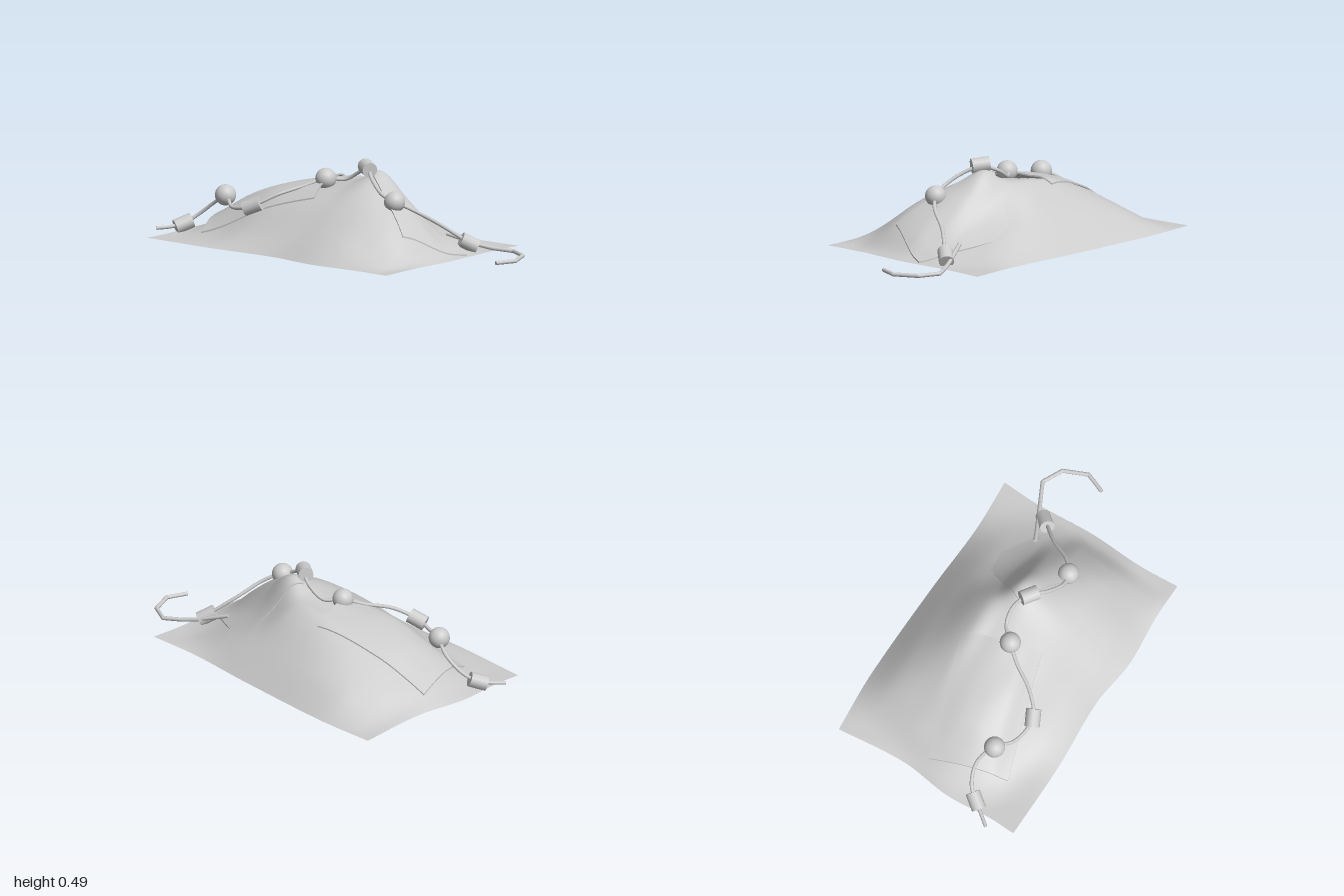
import * as THREE from 'three';

const mat = new THREE.MeshStandardMaterial({ color: 0xcccccc, side: THREE.DoubleSide });

// Draped height field: control heights over a coarse grid (rows run from back to front)
const XS = [-0.95, -0.87, -0.76, -0.6, -0.4, -0.2, 0, 0.15, 0.3, 0.45, 0.56, 0.65, 0.71];
const ZS = [-0.56, -0.4, -0.2, -0.09, 0.02, 0.2, 0.4, 0.56];
const edge = XS.map(() => 0.02);
const HEIGHTS = [
  edge,
  [0.02, 0.03, 0.07, 0.13, 0.165, 0.175, 0.17, 0.15, 0.11, 0.06, 0.03, 0.02, 0.02],
  [0.02, 0.05, 0.12, 0.20, 0.28, 0.335, 0.345, 0.28, 0.19, 0.11, 0.06, 0.03, 0.02],
  [0.02, 0.06, 0.13, 0.22, 0.29, 0.33, 0.365, 0.41, 0.30, 0.18, 0.09, 0.035, 0.02],
  [0.02, 0.06, 0.13, 0.22, 0.28, 0.315, 0.35, 0.38, 0.32, 0.22, 0.13, 0.045, 0.02],
  [0.02, 0.04, 0.09, 0.17, 0.24, 0.265, 0.28, 0.29, 0.27, 0.21, 0.13, 0.045, 0.02],
  [0.02, 0.02, 0.03, 0.055, 0.10, 0.125, 0.14, 0.15, 0.14, 0.095, 0.055, 0.02, 0.02],
  edge,
];

// Outline of the sheet: knots along each border and how far out it runs there
const BORDERS = {
  back: [[-0.95, -0.6, 0, 0.4, 0.71], [0.545, 0.568, 0.558, 0.54, 0.555]],
  front: [[-0.95, -0.5, -0.08, 0.2, 0.5, 0.71], [0.56, 0.56, 0.535, 0.563, 0.54, 0.54]],
  left: [[-0.56, -0.15, 0.15, 0.4, 0.56], [0.83, 0.8, 0.835, 0.82, 0.825]],
  right: [[-0.56, -0.35, 0, 0.3, 0.56], [0.83, 0.82, 0.835, 0.82, 0.83]],
};

// Smooth interpolation through uneven knots
function smooth(ks, vs, x) {
  const n = ks.length;
  x = Math.min(Math.max(x, ks[0]), ks[n - 1]);
  let i = 0;
  while (i < n - 2 && x > ks[i + 1]) i++;
  const slope = (j) => {
    const a = Math.max(j - 1, 0), b = Math.min(j + 1, n - 1);
    return (vs[b] - vs[a]) / (ks[b] - ks[a]);
  };
  const h = ks[i + 1] - ks[i], t = (x - ks[i]) / h, t2 = t * t, t3 = t2 * t;
  return (2 * t3 - 3 * t2 + 1) * vs[i] + (t3 - 2 * t2 + t) * h * slope(i)
    + (3 * t2 - 2 * t3) * vs[i + 1] + (t3 - t2) * h * slope(i + 1);
}

const heightAt = (x, z) => smooth(ZS, HEIGHTS.map((row) => smooth(XS, row, x)), z);

function reshape(geometry, rule) {
  const p = geometry.attributes.position;
  for (let i = 0; i < p.count; i++) p.setXYZ(i, ...rule(p.getX(i), p.getY(i), p.getZ(i)));
  geometry.computeVertexNormals();
  return geometry;
}

function add(group, name, geometry) {
  const mesh = new THREE.Mesh(geometry, mat);
  mesh.name = name;
  group.add(mesh);
  return mesh;
}

// Large sheet with gently wavy borders
function makeCloth() {
  const g = new THREE.PlaneGeometry(2, 2, 80, 56);
  g.rotateX(-Math.PI / 2);
  return reshape(g, (s, _, t) => {
    const x = s * 0.83 - 0.12, z = t * 0.56;
    const reachX = smooth(...(s < 0 ? BORDERS.left : BORDERS.right), z);
    const reachZ = smooth(...(t < 0 ? BORDERS.back : BORDERS.front), x);
    return [
      x + (reachX - 0.83) * s * Math.abs(s) ** 3,
      Math.max(0.02, heightAt(x, z)),
      z + (reachZ - 0.56) * t * Math.abs(t) ** 3,
    ];
  });
}

// Rectangular patch following the sheet; lift(u, v) is its clearance
function makePatch(origin, uEnd, vEnd, lift) {
  const g = new THREE.BoxGeometry(1, 1, 1, 28, 1, 22);
  return reshape(g, (a, b, c) => {
    const u = a + 0.5, v = c + 0.5;
    const x = origin[0] + u * (uEnd[0] - origin[0]) + v * (vEnd[0] - origin[0]);
    const z = origin[1] + u * (uEnd[1] - origin[1]) + v * (vEnd[1] - origin[1]);
    return [x, heightAt(x, z) + lift(u, v) + b * 0.008, z];
  });
}

// Straight cylinder between two points
function rod(group, name, a, b, radius, sides) {
  const dir = b.clone().sub(a);
  const m = add(group, name, new THREE.CylinderGeometry(radius, radius, dir.length(), sides));
  m.position.copy(a).add(b).multiplyScalar(0.5);
  m.quaternion.setFromUnitVectors(new THREE.Vector3(0, 1, 0), dir.normalize());
  return m;
}

const vec = (p) => new THREE.Vector3(...p);

export function createModel() {
  const model = new THREE.Group();
  const { smoothstep } = THREE.MathUtils;

  add(model, 'cloth', makeCloth());
  // Patch resting on the cloth at its back, bulging towards the front and bending down there
  add(model, 'largePatch', makePatch([-0.85, -0.04], [-0.22, -0.23], [-0.72, 0.38],
    (u, v) => 0.006 + 0.026 * smoothstep(v, 0, 0.6) - 0.022 * smoothstep(v, 0.75, 1)));
  // Patch whose back corner sinks into the cloth
  add(model, 'smallPatch', makePatch([0.24, -0.39], [0.71, -0.13], [0.07, -0.06],
    (u, v) => 0.012 - 0.025 * Math.max(0, 1 - u * 1.5 - v * 1.5)));

  // Cord winding over the top
  const cordPath = [
    [-1, 0.045, 0.42], [-0.95, 0.05, 0.355], [-0.91, 0.065, 0.3], [-0.86, 0.11, 0.24],
    [-0.76, 0.19, 0.21], [-0.655, 0.24, 0.25], [-0.55, 0.2, 0.32], [-0.4, 0.23, 0.335],
    [-0.3, 0.29, 0.25], [-0.22, 0.33, 0.12], [-0.145, 0.365, 0.025], [-0.07, 0.36, -0.045],
    [0.02, 0.41, -0.06], [0.11, 0.44, -0.02], [0.2, 0.4, 0.05], [0.3, 0.34, 0.085],
    [0.37, 0.31, 0.065], [0.45, 0.26, 0], [0.52, 0.18, -0.12], [0.625, 0.075, -0.24],
  ].map(vec);
  add(model, 'cord', new THREE.TubeGeometry(new THREE.CatmullRomCurve3(cordPath), 140, 0.01, 8));

  // Round beads
  for (const p of [[-0.655, 0.245, 0.255], [-0.145, 0.365, 0.028], [0.37, 0.308, 0.068]]) {
    add(model, 'roundBead', new THREE.SphereGeometry(0.057, 24, 16)).position.set(...p);
  }

  // Barrel beads: centre and axis
  for (const [p, axis] of [
    [[-0.91, 0.063, 0.3], [0.07, 0.045, -0.1]],
    [[-0.4, 0.23, 0.335], [0.1, 0.045, -0.05]],
    [[0.11, 0.448, -0.015], [0.09, -0.01, 0.06]],
    [[0.625, 0.07, -0.245], [0.07, -0.055, -0.08]],
  ]) {
    const half = vec(axis).setLength(0.048);
    rod(model, 'barrelBead', vec(p).sub(half), vec(p).add(half), 0.041, 12);
  }

  // Bent hook at the end of the cord
  const hook = new THREE.Group();
  hook.name = 'hook';
  const bends = [
    [0.49, 0.11, -0.22], [0.65, 0.055, -0.3], [0.72, 0.04, -0.335], [0.82, 0.03, -0.385],
    [0.93, 0.027, -0.33], [0.988, 0.025, -0.2], [0.945, 0.025, -0.09],
  ].map(vec);
  bends.forEach((p, i) => {
    if (i === 0) return;
    rod(hook, 'hookSegment', bends[i - 1], p, 0.011, 10);
    if (i < bends.length - 1) {
      add(hook, 'hookBend', new THREE.SphereGeometry(0.011, 10, 8)).position.copy(p);
    }
  });
  model.add(hook);

  return model;
}
